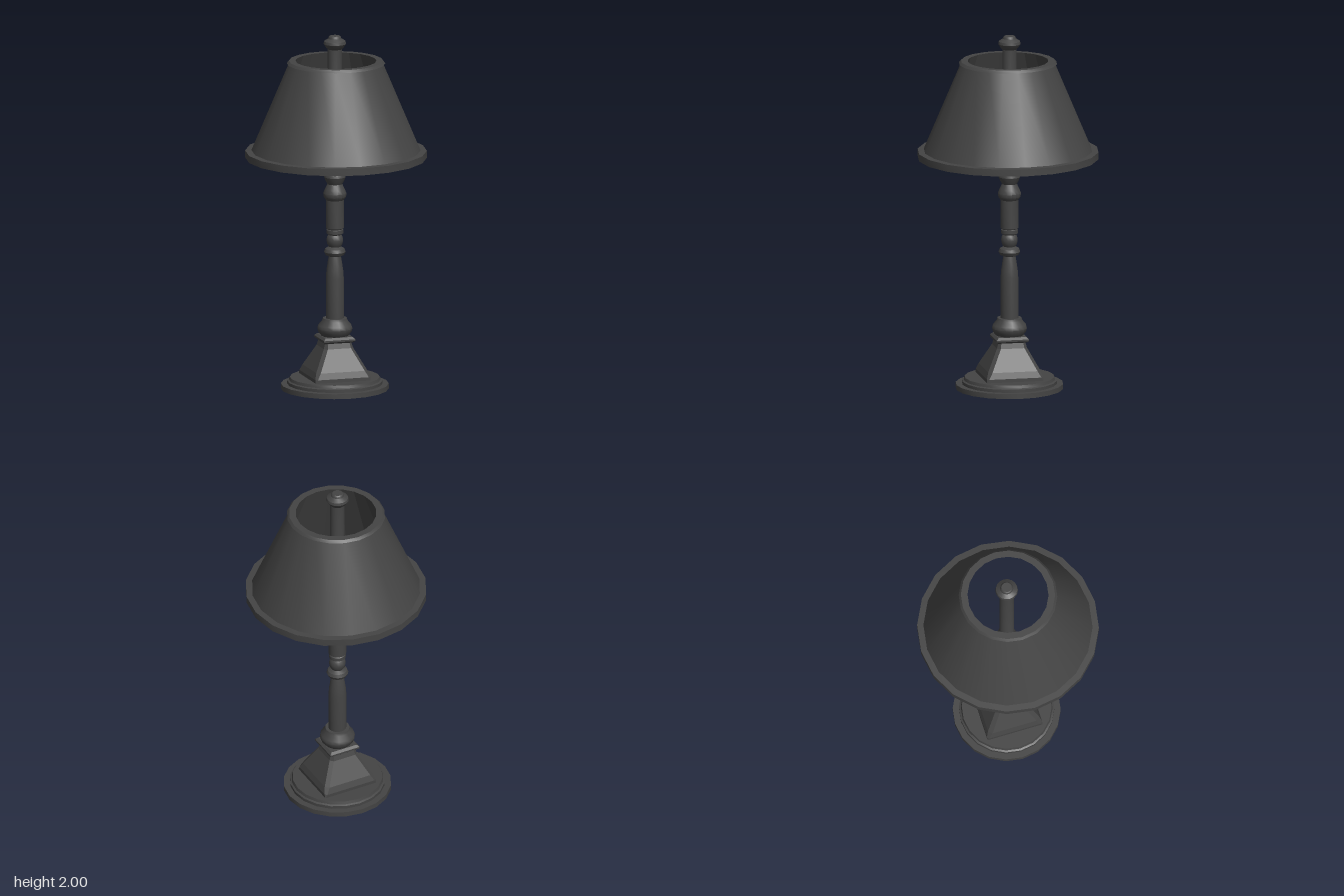
import * as THREE from 'three';
import { toCreasedNormals } from 'three/addons/utils/BufferGeometryUtils.js';

const dark = new THREE.MeshStandardMaterial({ color: 0x444444 });
const darkFlat = new THREE.MeshStandardMaterial({ color: 0x444444, flatShading: true });

// Turned part from [radius, y] pairs, listed bottom to top
function turned(name, profile, sides, material = dark) {
  const points = profile.map(([r, y]) => new THREE.Vector2(r, y));
  const geometry = toCreasedNormals(new THREE.LatheGeometry(points, sides), 0.6);
  const mesh = new THREE.Mesh(geometry, material);
  mesh.name = name;
  return mesh;
}

// Square part from [half width, corner cut, y] sections, listed bottom to top
function squareLoft(name, sections) {
  const positions = [];
  const index = [];
  for (const [h, c, y] of sections) {
    const i = h - c;
    const ring = [[h, i], [i, h], [-i, h], [-h, i], [-h, -i], [-i, -h], [i, -h], [h, -i]];
    for (const [x, z] of ring) positions.push(x, y, z);
  }
  for (let s = 0; s < sections.length - 1; s++) {
    for (let k = 0; k < 8; k++) {
      const a = s * 8 + k;
      const b = s * 8 + (k + 1) % 8;
      index.push(a, a + 8, b, b, a + 8, b + 8);
    }
  }
  // End caps
  const top = (sections.length - 1) * 8;
  for (let k = 1; k < 7; k++) {
    index.push(0, k, k + 1);
    index.push(top, top + k + 1, top + k);
  }
  const geometry = new THREE.BufferGeometry();
  geometry.setAttribute('position', new THREE.Float32BufferAttribute(positions, 3));
  geometry.setIndex(index);
  geometry.computeVertexNormals();
  const mesh = new THREE.Mesh(geometry, darkFlat);
  mesh.name = name;
  return mesh;
}

export function createModel() {
  const lamp = new THREE.Group();
  lamp.name = 'tableLamp';

  // Foot and column share an axis slightly off the shade's centre
  const stand = new THREE.Group();
  stand.name = 'stand';
  stand.position.set(-0.004, 0, -0.009);
  lamp.add(stand);

  // Stepped round foot
  stand.add(turned('foot', [
    [0, 0], [0.3, 0], [0.3, 0.028], [0.265, 0.028], [0.265, 0.045],
    [0.255, 0.05], [0.25, 0.066], [0, 0.066],
  ], 20));

  // Square pedestal with cut corners, and its thin cap
  stand.add(squareLoft('pedestal', [
    [0.16, 0.002, 0.064], [0.16, 0.012, 0.085], [0.148, 0.02, 0.12],
    [0.085, 0.018, 0.24], [0.075, 0.014, 0.275],
  ]));
  stand.add(squareLoft('pedestalCap', [
    [0.08, 0.002, 0.27], [0.092, 0.002, 0.28], [0.092, 0.002, 0.29], [0.08, 0.002, 0.302],
  ]));

  // Bulbous collar
  stand.add(turned('collar', [
    [0, 0.298], [0.075, 0.3], [0.093, 0.322], [0.098, 0.342], [0.093, 0.36],
    [0.072, 0.385], [0.068, 0.4], [0, 0.4],
  ], 16));

  // Lower column tapering to a neck
  stand.add(turned('lowerColumn', [
    [0.05, 0.395], [0.05, 0.63], [0.047, 0.67], [0.038, 0.73], [0.033, 0.755],
  ], 16));

  // Beads between the columns
  stand.add(turned('middleBeads', [
    [0.033, 0.75], [0.052, 0.758], [0.061, 0.775], [0.054, 0.793], [0.034, 0.805],
    [0.043, 0.82], [0.047, 0.842], [0.043, 0.862], [0.036, 0.872],
    [0.047, 0.88], [0.047, 0.9], [0.04, 0.906],
  ], 16));

  // Upper column and its beads
  stand.add(turned('upperColumn', [
    [0.04, 0.902], [0.05, 0.91], [0.05, 1.07],
    [0.063, 1.088], [0.065, 1.108], [0.056, 1.13], [0.042, 1.16],
    [0.052, 1.178], [0.061, 1.2], [0.056, 1.222], [0.04, 1.238],
    [0.047, 1.255], [0.046, 1.28], [0.04, 1.3], [0.04, 1.93],
  ], 16));

  // Finial
  stand.add(turned('finial', [
    [0.04, 1.925], [0.05, 1.935], [0.063, 1.955], [0.06, 1.97],
    [0.037, 1.985], [0.034, 1.995], [0.028, 2.0], [0, 2.0],
  ], 16));

  // Shade: smooth outside with rims, faceted inside
  const shade = new THREE.Group();
  shade.name = 'shade';
  shade.add(turned('shadeOuter', [
    [0.435, 1.31], [0.505, 1.31], [0.505, 1.35], [0.47, 1.352],
    [0.262, 1.845], [0.274, 1.846], [0.262, 1.86], [0.225, 1.86],
  ], 20));
  shade.add(turned('shadeLining', [[0.225, 1.86], [0.435, 1.31]], 20, darkFlat));
  lamp.add(shade);

  return lamp;
}
